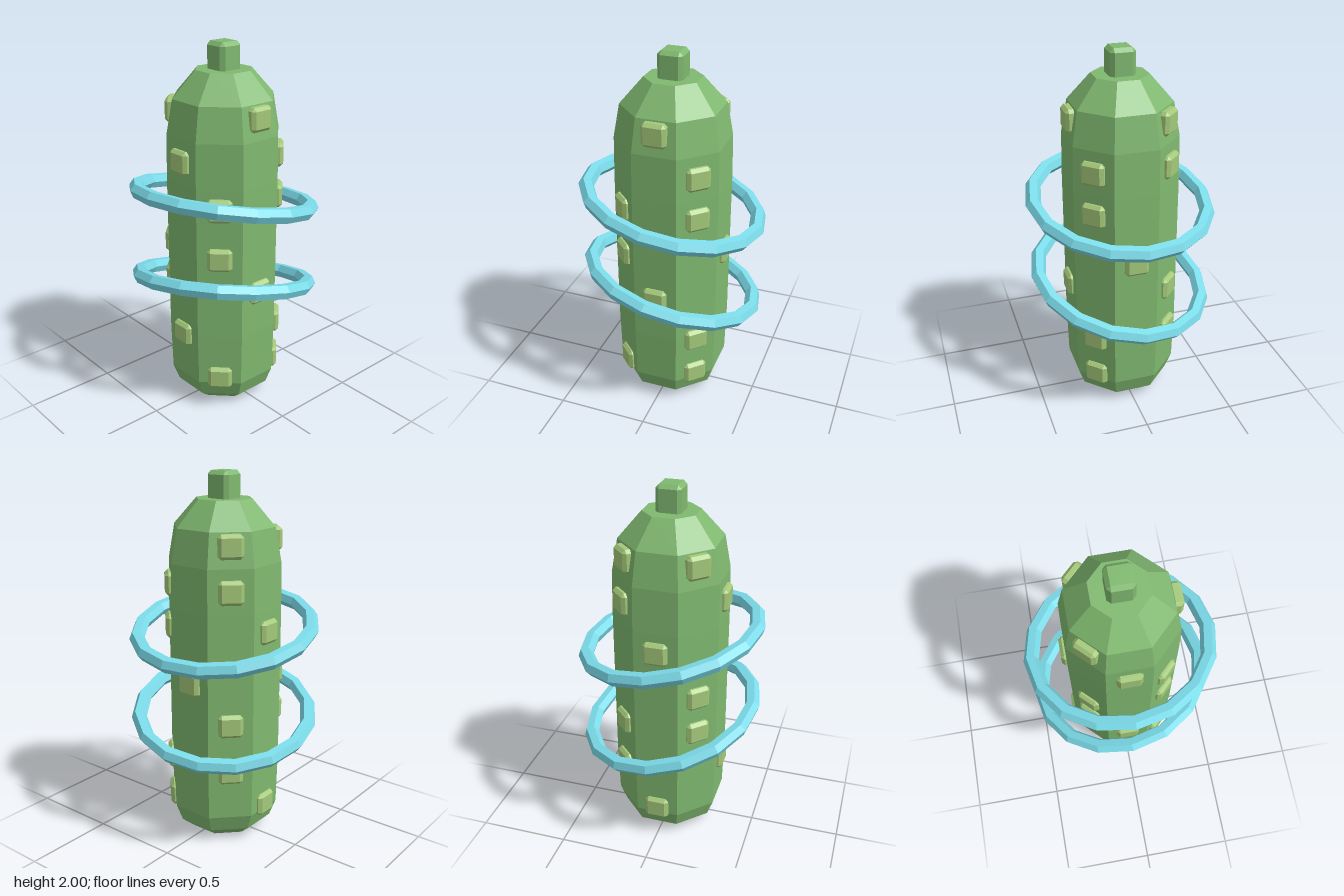
import * as THREE from 'three';
import { ConvexGeometry } from 'three/addons/geometries/ConvexGeometry.js';

const paint = (color) => new THREE.MeshStandardMaterial({ color, flatShading: true });

// Box with a single flat chamfer along every edge
function chamferBox(w, h, d, b) {
  const x = w / 2, y = h / 2, z = d / 2, pts = [];
  for (const i of [-1, 1]) for (const j of [-1, 1]) for (const k of [-1, 1]) {
    pts.push(
      new THREE.Vector3(i * x, j * (y - b), k * (z - b)),
      new THREE.Vector3(i * (x - b), j * y, k * (z - b)),
      new THREE.Vector3(i * (x - b), j * (y - b), k * z),
    );
  }
  return new ConvexGeometry(pts);
}

export function createModel() {
  const model = new THREE.Group();
  const skin = paint(0x80b970);
  const add = (name, geometry, material, parent = model) => {
    const mesh = new THREE.Mesh(geometry, material);
    mesh.name = name;
    parent.add(mesh);
    return mesh;
  };

  // Eight-sided body: [distance to flat side, height]
  const profile = [
    [0, 0], [0.182, 0], [0.25, 0.06], [0.283, 0.155], [0.29, 0.45],
    [0.29, 1.3], [0.286, 1.54], [0.255, 1.72], [0.14, 1.86], [0, 1.86],
  ].map(([r, y]) => new THREE.Vector2(r / Math.cos(Math.PI / 8), y));
  add('body', new THREE.LatheGeometry(profile, 8, Math.PI / 8), skin);

  // Stem
  add('stem', chamferBox(0.136, 0.16, 0.136, 0.02), skin).position.y = 1.92;

  // Bumps: heights on each flat side, going round from the front towards +x
  const bumpHeights = [
    [1.42, 0.43],
    [1.19, 0.915, 0.195],
    [1.65, 0.70],
    [1.42, 1.19, 0.43, 0.195],
    [0.915],
    [1.65, 1.42, 0.70, 0.43],
    [1.19, 0.195],
    [1.65, 0.915, 0.70],
  ];
  const bumps = new THREE.Group();
  bumps.name = 'bumps';
  model.add(bumps);
  const bumpGeometry = chamferBox(0.132, 0.126, 0.06, 0.017);
  const bumpMaterial = paint(0xa4c97a);
  bumpHeights.forEach((heights, side) => {
    const angle = side * Math.PI / 4;
    for (const y of heights) {
      const r = y > 1.6 ? 0.272 : y < 0.3 ? 0.279 : 0.287;
      const bump = add('bump', bumpGeometry, bumpMaterial, bumps);
      bump.position.set(Math.sin(angle) * r, y, Math.cos(angle) * r);
      bump.rotation.y = angle;
    }
  });

  // Two tilted floating rings: height, slope along x, slope along z
  const ringGeometry = new THREE.TorusGeometry(0.477, 0.042, 6, 16).rotateX(-Math.PI / 2);
  const ringMaterial = paint(0x7cdcea);
  const up = new THREE.Vector3(0, 1, 0);
  for (const [name, y, sx, sz] of [['upperRing', 1.165, 0.06, 0.21], ['lowerRing', 0.68, 0.18, 0.24]]) {
    const ring = add(name, ringGeometry, ringMaterial);
    ring.position.y = y;
    ring.quaternion.setFromUnitVectors(up, new THREE.Vector3(-sx, 1, -sz).normalize());
  }

  return model;
}
